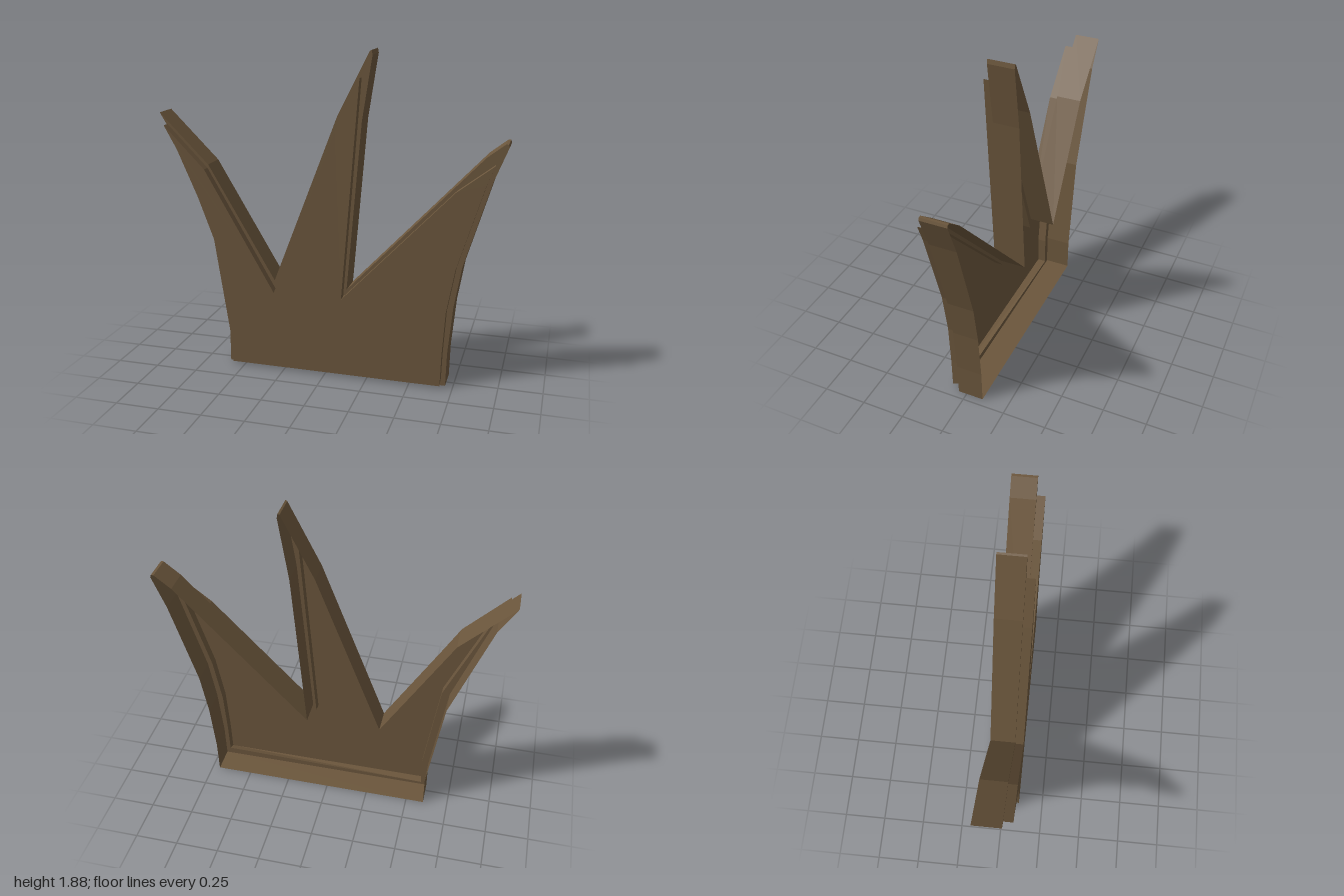
import * as THREE from 'three';

// Outlines run counter-clockwise seen from the front, starting bottom right.
const OUTER = [
  [0.705, 0], [0.71, 0.2], [0.735, 0.48], [0.775, 0.72], [0.92, 1.21],
  [0.995, 1.4], [0.99, 1.415], [0.975, 1.415], [0.88, 1.34],
  [0.12, 0.525], [0.2, 1.5], [0.255, 1.86], [0.25, 1.885], [0.24, 1.88], [0.06, 1.52],
  [-0.315, 0.54], [-0.71, 1.21], [-1, 1.5], [-0.905, 1.34],
  [-0.69, 0.76], [-0.605, 0.19], [-0.605, 0],
];
const INNER = [
  [0.68, 0.017], [0.685, 0.2], [0.7, 0.46], [0.745, 0.72], [0.89, 1.2],
  [0.93, 1.305], [0.73, 1.15],
  [0.1, 0.48], [0.197, 1.74], [0.06, 1.44],
  [-0.305, 0.48], [-0.715, 1.19], [-0.955, 1.435], [-0.88, 1.3],
  [-0.645, 0.76], [-0.565, 0.19], [-0.57, 0.017],
];
// The raised panel's lower corner lifts slightly where it meets the rim
const INNER_BACK = INNER.map(([x, y], i) => (i === 0 ? [x, 0.04] : [x, y]));

const BACK = -0.1, STEP = 0.05, FRONT = 0.1;

const toPoints = (outline) => outline.map(([x, y]) => new THREE.Vector2(x, y));

// Band of flat quads joining two matching outlines at different depths
function wall(back, zBack, front, zFront) {
  const pos = [];
  back.forEach((a, i) => {
    const j = (i + 1) % back.length;
    const b = back[j], c = front[j], d = front[i];
    pos.push(...a, zBack, ...b, zBack, ...c, zFront);
    pos.push(...a, zBack, ...c, zFront, ...d, zFront);
  });
  const geo = new THREE.BufferGeometry();
  geo.setAttribute('position', new THREE.Float32BufferAttribute(pos, 3));
  geo.computeVertexNormals();
  return geo;
}

// Flat face at depth z, with an optional hole
function face(outline, z, hole) {
  const shape = new THREE.Shape(toPoints(outline));
  if (hole) shape.holes.push(new THREE.Path(toPoints(hole)));
  return new THREE.ShapeGeometry(shape).translate(0, 0, z);
}

export function createModel() {
  const group = new THREE.Group();
  group.name = 'spikedPlate';
  const material = new THREE.MeshStandardMaterial({
    color: 0x6b563c, flatShading: true, side: THREE.DoubleSide,
  });
  const add = (name, geo) => {
    const mesh = new THREE.Mesh(geo, material);
    mesh.name = name;
    group.add(mesh);
  };

  // Open-backed shell: outer wall, stepped rim, inner wall, front panel
  add('outerWall', wall(OUTER, BACK, OUTER, STEP));
  add('rim', face(OUTER, STEP, INNER_BACK));
  add('raisedWall', wall(INNER_BACK, STEP, INNER, FRONT));
  add('frontPanel', face(INNER, FRONT));
  return group;
}
